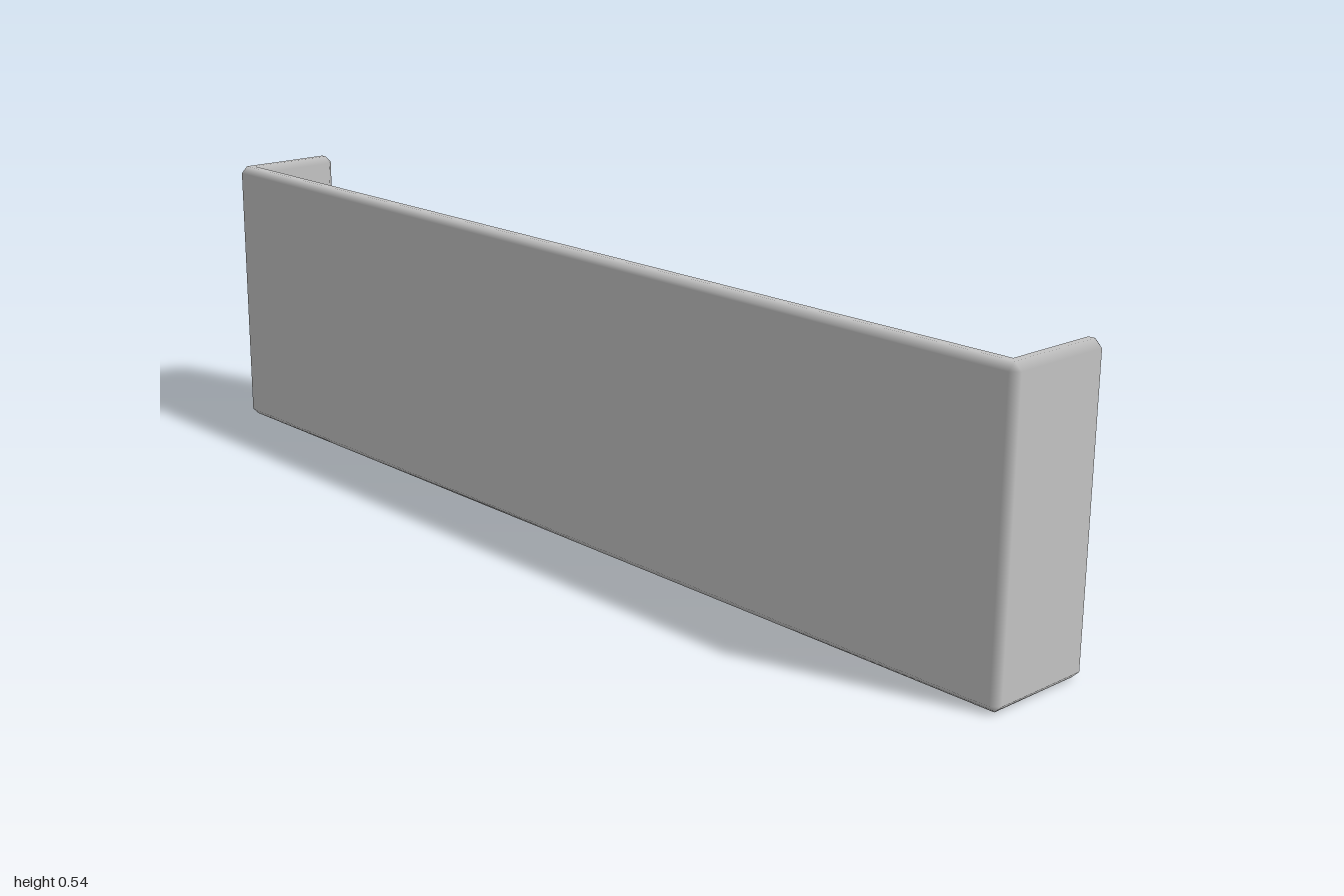
import * as THREE from 'three';
import { ConvexGeometry } from 'three/addons/geometries/ConvexGeometry.js';

const W = 2, H = 0.535, D = 0.213; // overall size
const T = 0.038;                   // wall thickness
const B = 0.013;                   // bevel and fillet size

const vec = (x, y, z) => new THREE.Vector3(x, y, z);

// Convex solid whose vertex normals follow a rule, so bevels shade softly
function solid(points, normalAt) {
  const geo = new ConvexGeometry(points);
  const pos = geo.attributes.position;
  const v = new THREE.Vector3();
  for (let i = 0; i < pos.count; i++) {
    const n = normalAt(v.fromBufferAttribute(pos, i));
    geo.attributes.normal.setXYZ(i, n.x, n.y, n.z);
  }
  return geo;
}

// Box with single-step bevels on every edge; each corner belongs to one flat face
function bevelledSlab(w, h, d) {
  const half = [w / 2, h / 2, d / 2];
  const points = [];
  for (let axis = 0; axis < 3; axis++)
    for (const sx of [-1, 1]) for (const sy of [-1, 1]) for (const sz of [-1, 1]) {
      const p = [sx, sy, sz].map((s, i) => s * (half[i] - (i === axis ? 0 : B)));
      points.push(vec(...p));
    }
  return solid(points, (v) => {
    const n = v.toArray().map((c, i) => (Math.abs(c) > half[i] - B / 2 ? Math.sign(c) : 0));
    return vec(...n);
  });
}

// Triangular strip filling an inside corner, running from p along s between axes a and b
function fillet(p, s, length, a, b) {
  const points = [];
  for (const t of [0, length]) {
    const q = p.clone().addScaledVector(s, t);
    points.push(q, q.clone().addScaledVector(a, B), q.clone().addScaledVector(b, B));
  }
  return solid(points, (v) => {
    const d = v.clone().sub(p);
    if (d.dot(a) > B / 2) return b;
    if (d.dot(b) > B / 2) return a;
    return s;
  });
}

export function createModel() {
  const group = new THREE.Group();
  group.name = 'openTray';
  const grey = new THREE.MeshStandardMaterial({ color: 0xc4c4c4 });
  grey.name = 'plain grey';

  const add = (name, geo, x = 0, y = 0, z = 0) => {
    const mesh = new THREE.Mesh(geo, grey);
    mesh.name = name;
    mesh.position.set(x, y, z);
    group.add(mesh);
  };

  // Front wall and floor; top and back stay open
  add('frontWall', bevelledSlab(W, H, T), 0, H / 2, D / 2 - T / 2);
  add('floor', bevelledSlab(W, T, D), 0, T / 2, 0);

  // Inside corner lines
  const X = W / 2 - T, Y = T, Z = D / 2 - T;
  const up = vec(0, 1, 0), back = vec(0, 0, -1);

  // End walls with their inner fillets
  for (const [side, name] of [[1, 'left'], [-1, 'right']]) {
    add(name + 'Wall', bevelledSlab(T, H, D), side * (W / 2 - T / 2), H / 2, 0);
    const corner = vec(side * X, Y, Z);
    const inward = vec(-side, 0, 0);
    add(name + 'FrontFillet', fillet(corner, up, H - Y - B, inward, back));
    add(name + 'FloorFillet', fillet(corner, back, Z + D / 2 - B, inward, up));
  }
  add('frontFloorFillet', fillet(vec(-X, Y, Z), vec(1, 0, 0), 2 * X, up, back));

  return group;
}
